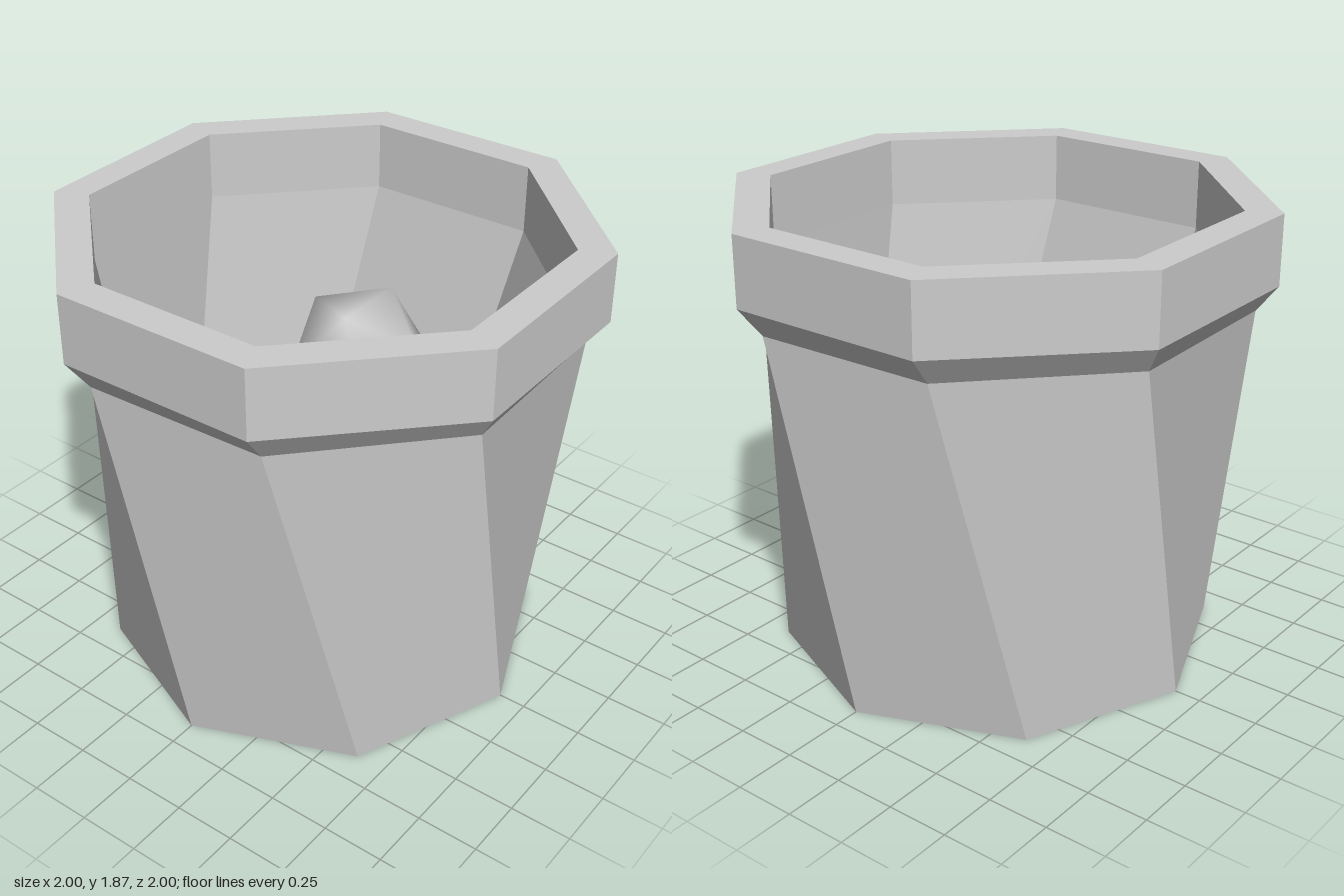
import * as THREE from 'three';
import { mergeVertices } from 'three/addons/utils/BufferGeometryUtils.js';

const SIDES = 8;
const rad = THREE.MathUtils.degToRad;

// Point k of a ring [radius, height, twist in degrees]
function ringPoint([r, y, twist], k) {
  const t = rad(twist + (k * 360) / SIDES);
  return new THREE.Vector3(r * Math.sin(t), y, r * Math.cos(t));
}

// Joins rings into four-sided panels, each evenly shaded.
// Twisted panels fold inward along their longer diagonal.
function loft(rings) {
  const pos = [], nor = [];
  for (let i = 0; i < rings.length - 1; i++) {
    const lo = rings[i], hi = rings[i + 1];
    for (let k = 0; k < SIDES; k++) {
      const a = ringPoint(lo, k), b = ringPoint(lo, k + 1);
      const c = ringPoint(hi, k + 1), d = ringPoint(hi, k);
      const n = c.clone().sub(a).cross(d.clone().sub(b)).normalize();
      const corners = lo[2] > hi[2] ? [a, b, d, b, c, d] : [a, b, c, a, c, d];
      for (const p of corners) {
        pos.push(p.x, p.y, p.z);
        nor.push(n.x, n.y, n.z);
      }
    }
  }
  const g = new THREE.BufferGeometry();
  g.setAttribute('position', new THREE.Float32BufferAttribute(pos, 3));
  g.setAttribute('normal', new THREE.Float32BufferAttribute(nor, 3));
  return g;
}

// Smooth-shaded icosahedron
function ballGeometry() {
  const ico = new THREE.IcosahedronGeometry(1, 0);
  ico.deleteAttribute('normal');
  ico.deleteAttribute('uv');
  const g = mergeVertices(ico);
  g.computeVertexNormals();
  return g;
}

export function createModel() {
  const model = new THREE.Group();
  model.name = 'twistedPot';
  const material = new THREE.MeshStandardMaterial({ color: 0xcccccc });

  // Pot: underside, twisted wall, flared rim, inner wall and floor
  const pot = new THREE.Mesh(
    loft([
      [0, 0, 0],
      [0.89, 0, 0],
      [0.994, 1.48, -20.6],
      [1.077, 1.59, -21.9],
      [1.077, 1.87, -21.9],
      [0.934, 1.87, -22.1],
      [0.934, 1.59, -22.1],
      [0.775, 0.1, -1],
      [0, 0.1, -1],
    ]),
    material
  );
  pot.name = 'pot';
  model.add(pot);

  // Loose balls piled inside: x, y, z, radius, turn, tilt
  const balls = new THREE.Group();
  balls.name = 'balls';
  const geometry = ballGeometry();
  [
    [-0.26, 0.6, 0.075, 0.53, 90, 0],
    [0.385, 0.82, -0.225, 0.39, 0, -31.7],
    [0.29, 0.5, 0.42, 0.3, 90, 0],
    [-0.14, 1.04, -0.43, 0.31, 90, -8],
  ].forEach(([x, y, z, r, turn, tilt], i) => {
    const ball = new THREE.Mesh(geometry, material);
    ball.name = `ball${i + 1}`;
    ball.position.set(x, y, z);
    ball.rotation.set(0, rad(turn), rad(tilt), 'ZYX');
    ball.scale.setScalar(r);
    balls.add(ball);
  });
  model.add(balls);
  return model;
}
